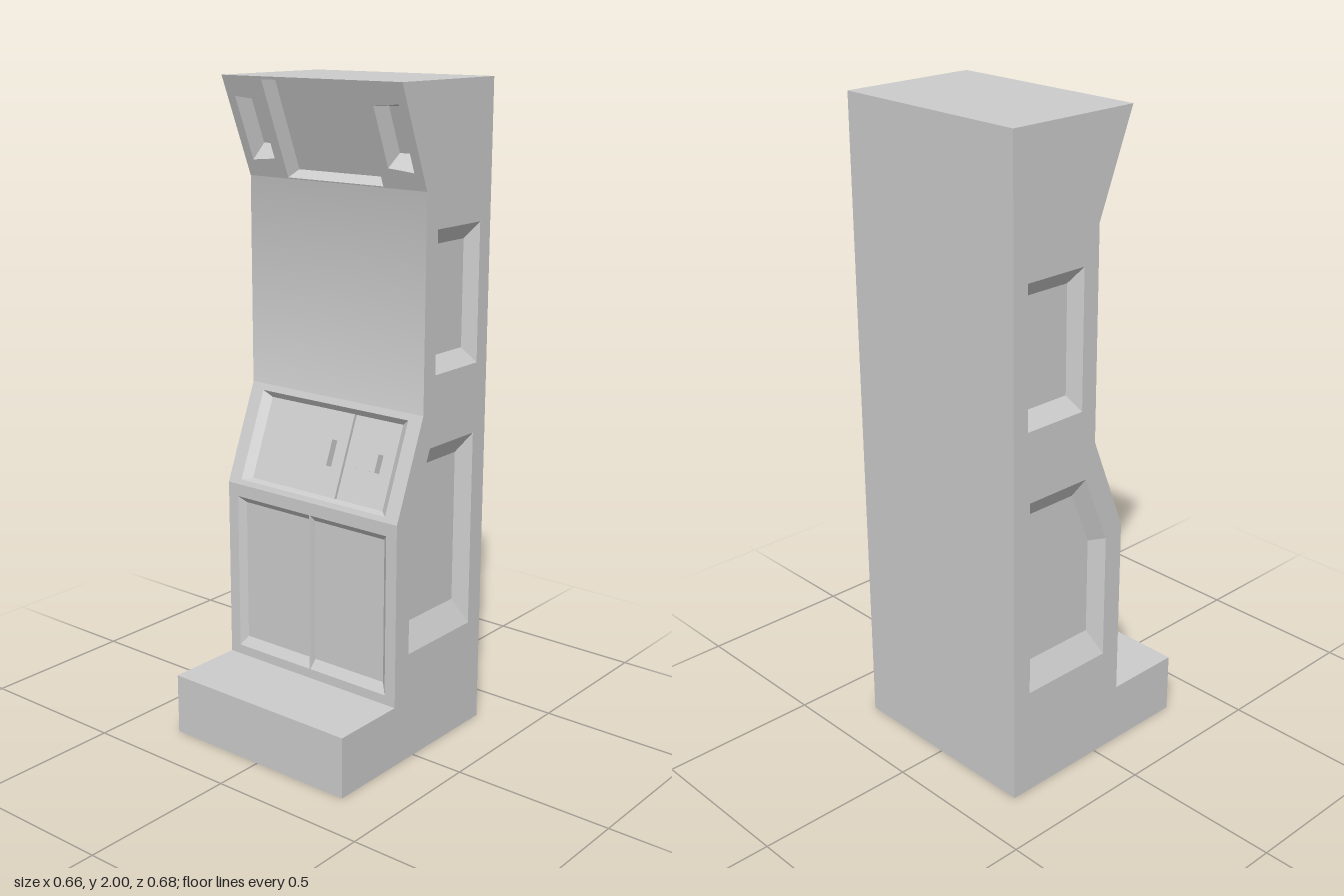
import * as THREE from 'three';
import { mergeGeometries } from 'three/addons/utils/BufferGeometryUtils.js';

const W = 0.328; // half width
const material = new THREE.MeshStandardMaterial({ color: 0xcccccc });

// Cabinet outline as [z, y], running from the back foot round the front
const profile = [
  [-0.342, 0], [0.342, 0], [0.342, 0.19], [0.095, 0.19], [0.095, 0.76],
  [-0.025, 1.06], [-0.025, 1.7], [0.095, 2], [-0.342, 2],
];

const rect = (x0, x1, y0, y1) => [[x0, y0], [x1, y0], [x1, y1], [x0, y1]];
const mirror = (points) => points.map(([x, y]) => [-x, y]);
const toVectors = (points) => points.map(([x, y]) => new THREE.Vector2(x, y));

function flatShape(outline, holes = [], z = 0) {
  const shape = new THREE.Shape(toVectors(outline));
  shape.holes = holes.map((h) => new THREE.Path(toVectors(h)));
  const geometry = new THREE.ShapeGeometry(shape).toNonIndexed();
  geometry.deleteAttribute('uv');
  return geometry.translate(0, 0, z);
}

// Sloping walls between the rim of a recess and its floor
function recessWalls({ outer, inner, depth }) {
  if (THREE.ShapeUtils.isClockWise(toVectors(outer))) {
    outer = [...outer].reverse();
    inner = [...inner].reverse();
  }
  const positions = [];
  outer.forEach((a, i) => {
    const j = (i + 1) % outer.length;
    const p = [...a, 0], q = [...outer[j], 0];
    const r = [...inner[j], -depth], s = [...inner[i], -depth];
    positions.push(...p, ...q, ...r, ...p, ...r, ...s);
  });
  const geometry = new THREE.BufferGeometry();
  geometry.setAttribute('position', new THREE.Float32BufferAttribute(positions, 3));
  geometry.computeVertexNormals();
  return geometry;
}

// A flat face with recesses, placed by its origin and its two in-plane axes
function panel(name, origin, u, v, outline, recesses = []) {
  const group = new THREE.Group();
  group.name = name;
  const geometry = mergeGeometries([
    flatShape(outline, recesses.map((r) => r.outer)),
    ...recesses.map(recessWalls),
    ...recesses.map((r) => flatShape(r.inner, [], -r.depth)),
  ]);
  const mesh = new THREE.Mesh(geometry, material);
  mesh.name = name + 'Face';
  group.add(mesh);
  const n = new THREE.Vector3().crossVectors(u, v);
  group.applyMatrix4(new THREE.Matrix4().makeBasis(u, v, n).setPosition(origin));
  return group;
}

// A full-width face on one edge of the profile
function edgePanel(name, index, recesses) {
  const [z0, y0] = profile[index];
  const [z1, y1] = profile[(index + 1) % profile.length];
  const v = new THREE.Vector3(0, y1 - y0, z1 - z0);
  const length = v.length();
  return panel(name, new THREE.Vector3(0, y0, z0), new THREE.Vector3(1, 0, 0),
    v.normalize(), rect(-W, W, 0, length), recesses);
}

function block(name, w, h, d, x, y, z) {
  const mesh = new THREE.Mesh(new THREE.BoxGeometry(w, h, d), material);
  mesh.name = name;
  mesh.position.set(x, y, z + d / 2);
  return mesh;
}

export function createModel() {
  const model = new THREE.Group();
  model.name = 'cabinet';

  // Side walls, each with two bevelled recesses
  const sideRecesses = [
    {
      outer: rect(-0.29, -0.08, 1.17, 1.59),
      inner: rect(-0.265, -0.105, 1.215, 1.54),
      depth: 0.04,
    },
    {
      outer: [[0.03, 0.34], [0.03, 0.735], [-0.06, 0.955], [-0.28, 0.955], [-0.28, 0.34]],
      inner: [[-0.005, 0.42], [-0.005, 0.725], [-0.075, 0.895], [-0.245, 0.895], [-0.245, 0.42]],
      depth: 0.04,
    },
  ];
  for (const side of [1, -1]) {
    const turn = side > 0 ? mirror : (points) => points;
    model.add(panel(side > 0 ? 'leftSide' : 'rightSide',
      new THREE.Vector3(side * W, 0, 0),
      new THREE.Vector3(0, 0, -side), new THREE.Vector3(0, 1, 0), turn(profile),
      sideRecesses.map((r) => ({ outer: turn(r.outer), inner: turn(r.inner), depth: r.depth }))));
  }

  // Plain faces
  model.add(edgePanel('base', 0), edgePanel('stepFront', 1), edgePanel('stepTop', 2));
  model.add(edgePanel('top', 7), edgePanel('back', 8));

  // Pair of sunken doors
  const door = {
    outer: rect(0.002, 0.29, 0.03, 0.53),
    inner: rect(0.008, 0.27, 0.06, 0.51),
    depth: 0.018,
  };
  model.add(edgePanel('doors', 3, [
    door, { outer: mirror(door.outer), inner: mirror(door.inner), depth: door.depth },
  ]));

  // Sloping console with a raised middle plate and two small blocks
  const consolePanel = edgePanel('console', 4, [{
    outer: rect(-0.28, 0.28, 0.016, 0.302),
    inner: rect(-0.253, 0.253, 0.03, 0.288),
    depth: 0.02,
  }]);
  consolePanel.add(
    block('middlePlate', 0.165, 0.258, 0.01, -0.002, 0.159, -0.02),
    block('middleBlock', 0.08, 0.08, 0.025, 0, 0.16, -0.01),
    block('sideBlock', 0.09, 0.055, 0.025, 0.165, 0.16, -0.02),
  );
  model.add(consolePanel);

  // Upright back screen, softly shaded into the slopes above and below
  const screen = edgePanel('screen', 5);
  const { position, normal } = screen.children[0].geometry.attributes;
  for (let i = 0; i < position.count; i++) {
    const tilt = position.getY(i) > 0.3 ? -0.19 : 0.19;
    normal.setXYZ(i, 0, tilt, Math.sqrt(1 - tilt * tilt));
  }
  model.add(screen);

  // Overhanging header with a wide sign recess and two speaker recesses
  const speaker = {
    outer: [[0.21, 0.063], [0.298, 0.054], [0.298, 0.258], [0.21, 0.25]],
    inner: rect(0.222, 0.285, 0.086, 0.228),
    depth: 0.05,
  };
  model.add(edgePanel('header', 6, [
    {
      outer: rect(-0.177, 0.177, 0.004, 0.314),
      inner: rect(-0.174, 0.174, 0.005, 0.292),
      depth: 0.052,
    },
    speaker,
    { outer: mirror(speaker.outer), inner: mirror(speaker.inner), depth: speaker.depth },
  ]));

  return model;
}
